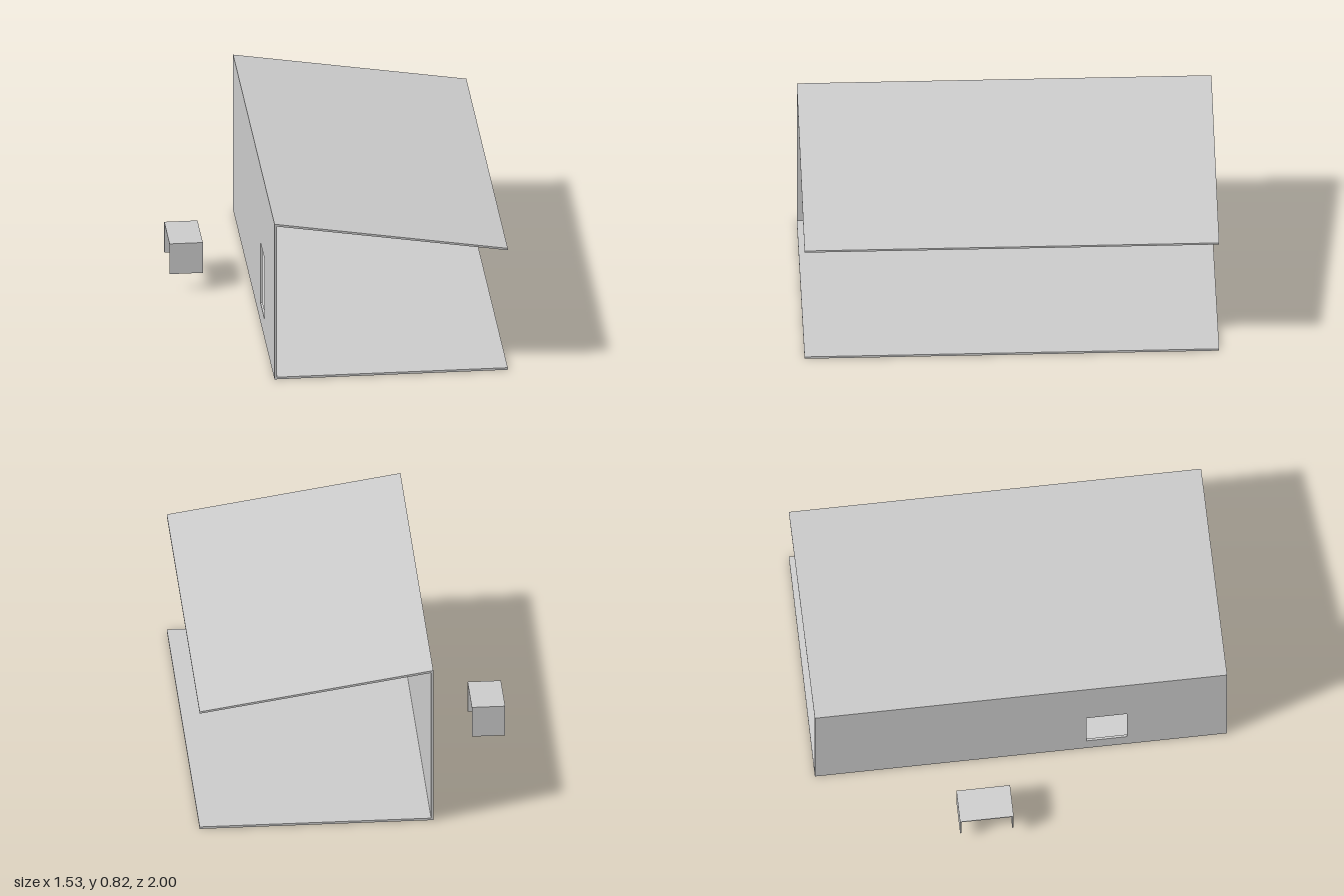
import * as THREE from 'three';

const material = new THREE.MeshStandardMaterial({ color: 0xcccccc, flatShading: true });
const LEFT = -0.365, RIGHT = 0.765, LENGTH = 2, THICK = 0.011;

function add(parent, name, geometry) {
  const mesh = new THREE.Mesh(geometry, material);
  mesh.name = name;
  parent.add(mesh);
  return mesh;
}

// Box given by its minimum and maximum corners
function box(parent, name, [x0, y0, z0], [x1, y1, z1]) {
  const mesh = add(parent, name, new THREE.BoxGeometry(x1 - x0, y1 - y0, z1 - z0));
  mesh.position.set((x0 + x1) / 2, (y0 + y1) / 2, (z0 + z1) / 2);
}

function polygon(points) {
  return new THREE.Shape(points.map(([x, y]) => new THREE.Vector2(x, y)));
}

export function createModel() {
  const model = new THREE.Group();
  model.name = 'shelter';

  // Floor slab
  box(model, 'floor', [LEFT, 0, -1], [RIGHT, THICK, 1]);

  // Sloping roof: cross-section swept along z
  const roof = polygon([[LEFT, 0.809], [RIGHT, 0.632], [RIGHT, 0.642], [LEFT, 0.82]]);
  const roofGeometry = new THREE.ExtrudeGeometry(roof, { depth: LENGTH, bevelEnabled: false });
  add(model, 'roof', roofGeometry.translate(0, 0, -1));

  // Wall with a window, drawn in (z, y) and turned to face sideways
  const wall = polygon([[-1, THICK], [1, THICK], [1, 0.809], [-1, 0.809]]);
  wall.holes.push(polygon([[0.317, 0.1], [0.317, 0.42], [0.515, 0.42], [0.515, 0.1]]));
  const wallGeometry = new THREE.ExtrudeGeometry(wall, { depth: THICK, bevelEnabled: false });
  wallGeometry.rotateY(-Math.PI / 2).translate(LEFT + THICK, 0, 0);
  add(model, 'wall', wallGeometry);

  // Planked bench: a slatted seat over two slatted end panels
  const bench = new THREE.Group();
  bench.name = 'bench';
  model.add(bench);
  const seams = [-0.765, -0.745, -0.715, -0.684, -0.656, -0.635, -0.604];
  const back = -0.34, front = -0.08, bottom = 0.09, top = 0.25, board = 0.007;
  for (let i = 0; i < seams.length - 1; i++) {
    const x0 = seams[i], x1 = seams[i + 1];
    box(bench, 'seatPlank', [x0, top - board, back], [x1, top, front]);
    box(bench, 'backLegPlank', [x0, bottom, back], [x1, top - board, back + board]);
    box(bench, 'frontLegPlank', [x0, bottom, front - board], [x1, top - board, front]);
  }
  return model;
}
